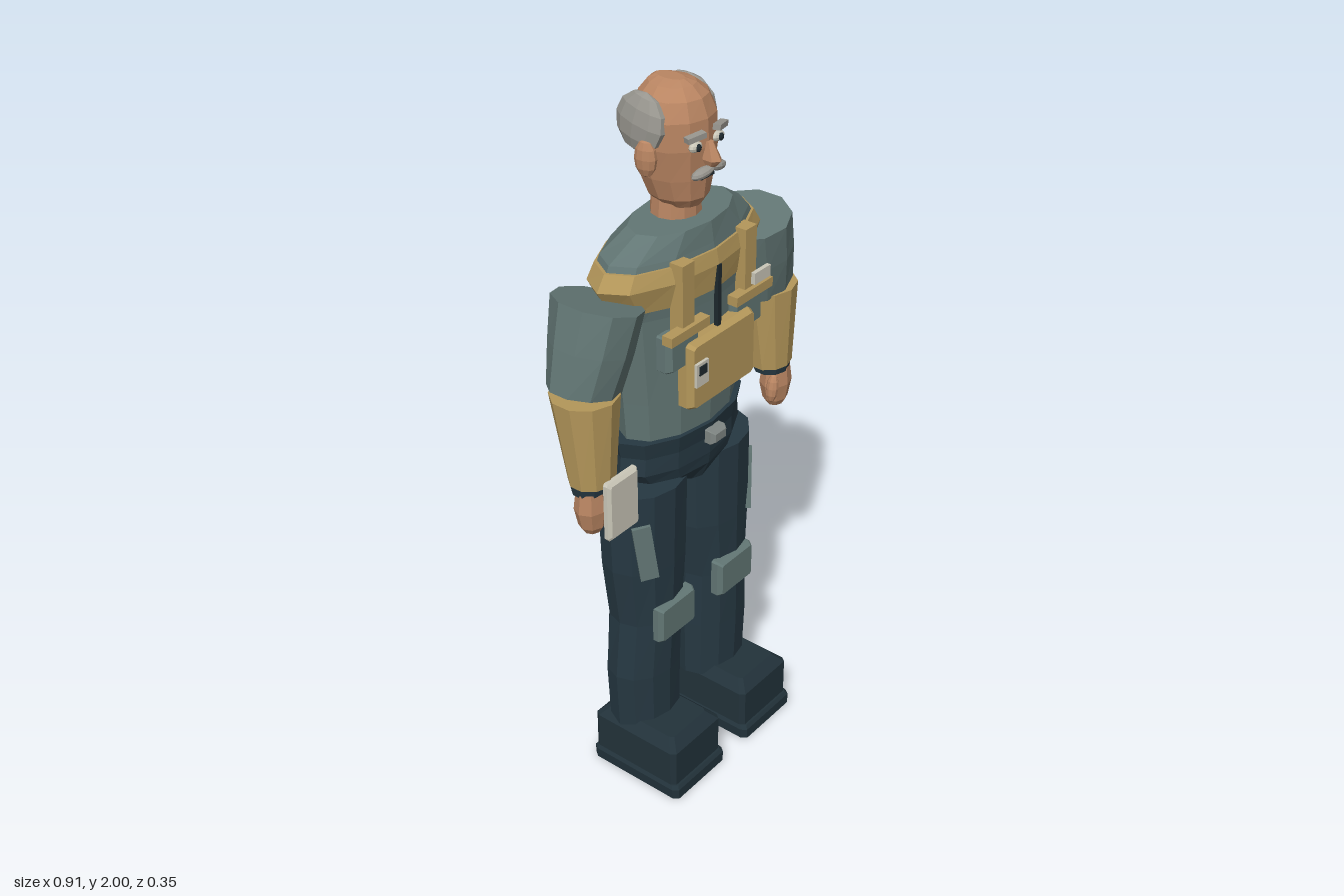
import * as THREE from 'three';

const paint = (name, color) => {
  const m = new THREE.MeshStandardMaterial({ color });
  m.name = name;
  return m;
};

// Unit outlines, running from front towards +x
const round = (n) => Array.from({ length: n }, (_, i) => {
  const a = (i / n) * Math.PI * 2;
  return [Math.sin(a), Math.cos(a)];
});
const bevelled = (c) => [[-c, 1], [c, 1], [1, c], [1, -c], [c, -1], [-c, -1], [-1, -c], [-1, c]];

const flat = (geo) => {
  const g = geo.index ? geo.toNonIndexed() : geo;
  g.computeVertexNormals();
  return g;
};

// Closed faceted skin through rings [y, halfWidth, halfDepth, centreZ, centreX], bottom to top
function loft(rings, outline = round(12)) {
  const pos = [];
  const at = ([y, rx, rz, cz = 0, cx = 0], i) => {
    const [u, v] = outline[i % outline.length];
    return [cx + u * rx, y, cz + v * rz];
  };
  const mid = ([y, , , cz = 0, cx = 0]) => [cx, y, cz];
  const first = rings[0], last = rings[rings.length - 1];
  for (let i = 0; i < outline.length; i++) {
    for (let r = 0; r + 1 < rings.length; r++) {
      const a = at(rings[r], i), b = at(rings[r], i + 1);
      const c = at(rings[r + 1], i + 1), d = at(rings[r + 1], i);
      pos.push(...a, ...b, ...c, ...a, ...c, ...d);
    }
    pos.push(...mid(first), ...at(first, i + 1), ...at(first, i));
    pos.push(...mid(last), ...at(last, i), ...at(last, i + 1));
  }
  const g = new THREE.BufferGeometry();
  g.setAttribute('position', new THREE.Float32BufferAttribute(pos, 3));
  g.computeVertexNormals();
  return g;
}

export function createModel() {
  const model = new THREE.Group();
  model.name = 'worker';
  const shirt = paint('shirt teal', 0x627674);
  const tan = paint('harness tan', 0xb4975a);
  const navy = paint('trouser navy', 0x263842);
  const bootMat = paint('boot dark', 0x22323a);
  const skin = paint('skin', 0xb98562);
  const hair = paint('hair grey', 0x97958e);
  const pale = paint('paper', 0xcac7b8);
  const dark = paint('dark trim', 0x1e292e);
  const metal = paint('buckle grey', 0x7f8683);

  const add = (name, geo, mat, x = 0, y = 0, z = 0, rx = 0, ry = 0, rz = 0) => {
    const m = new THREE.Mesh(geo, mat);
    m.name = name;
    m.position.set(x, y, z);
    m.rotation.set(rx, ry, rz);
    model.add(m);
    return m;
  };
  const box = (name, mat, w, h, d, x, y, z, ...rot) =>
    add(name, new THREE.BoxGeometry(w, h, d), mat, x, y, z, ...rot);
  const blob = (name, mat, w, h, d, x, y, z, ...rot) =>
    add(name, flat(new THREE.SphereGeometry(1, 10, 6).scale(w, h, d)), mat, x, y, z, ...rot);
  // Pad with bevelled corners and a bevelled front face
  const pad = (name, mat, w, h, d, x, y, z, ...rot) =>
    add(name, loft([[0, w / 2, h / 2], [d * 0.6, w / 2, h / 2], [d, w / 2 - 0.008, h / 2 - 0.008]],
      bevelled(0.92)).rotateX(Math.PI / 2), mat, x, y, z, ...rot);

  // Torso
  add('shirt', loft([
    [1.04, 0.2, 0.108, -0.04], [1.2, 0.213, 0.115, -0.04], [1.45, 0.24, 0.122, -0.04],
    [1.55, 0.285, 0.128, -0.04], [1.605, 0.255, 0.118, -0.04], [1.66, 0.17, 0.095, -0.025],
  ]), shirt);
  add('chestBand', loft([
    [1.48, 0.255, 0.127, -0.04], [1.55, 0.3, 0.135, -0.04], [1.59, 0.272, 0.127, -0.04],
  ]), tan);
  add('hips', loft([
    [0.905, 0.06, 0.09, -0.045], [0.955, 0.2, 0.112, -0.045], [0.99, 0.228, 0.117, -0.045],
    [1.04, 0.222, 0.117, -0.045], [1.09, 0.235, 0.126, -0.045],
  ]), navy);

  // Chest gear
  box('zip', dark, 0.014, 0.17, 0.012, 0, 1.465, 0.092);
  pad('chestPouch', tan, 0.26, 0.19, 0.045, 0, 1.285, 0.07);
  box('radio', pale, 0.048, 0.066, 0.012, -0.098, 1.295, 0.117);
  box('radioScreen', dark, 0.03, 0.025, 0.004, -0.098, 1.307, 0.124);
  box('badge', pale, 0.066, 0.032, 0.012, 0.157, 1.462, 0.108);
  pad('buckle', metal, 0.06, 0.04, 0.03, 0, 1.056, 0.077);

  // Neck and head
  add('neck', loft([[1.62, 0.072, 0.065, -0.04], [1.72, 0.062, 0.06, -0.04]]), skin);
  add('head', loft([
    [1.69, 0.052, 0.062, -0.03], [1.715, 0.074, 0.08, -0.033], [1.77, 0.092, 0.094, -0.04],
    [1.85, 0.106, 0.102, -0.04], [1.92, 0.105, 0.1, -0.042], [1.965, 0.085, 0.085, -0.045],
    [1.99, 0.054, 0.062, -0.05], [2.0, 0.022, 0.042, -0.055],
  ]), skin);
  add('nose', loft([
    [1.805, 0.014, 0.015, 0.068], [1.822, 0.021, 0.028, 0.07], [1.865, 0.01, 0.014, 0.06],
  ], round(6)), skin);
  box('mouth', dark, 0.05, 0.008, 0.008, 0, 1.775, 0.055);

  for (const s of [-1, 1]) {
    const side = s > 0 ? 'left' : 'right';

    // Face and hair
    blob(side + 'Ear', skin, 0.018, 0.048, 0.03, s * 0.115, 1.833, -0.038, 0, s * -0.2, 0);
    blob(side + 'Hair', hair, 0.03, 0.074, 0.08, s * 0.089, 1.908, -0.072, 0.15, s * 0.12, s * 0.12);
    box(side + 'Brow', hair, 0.052, 0.014, 0.02, s * 0.048, 1.889, 0.058, 0, s * 0.3, s * -0.12);
    blob(side + 'Eye', pale, 0.022, 0.013, 0.012, s * 0.043, 1.862, 0.054);
    blob(side + 'Pupil', dark, 0.009, 0.01, 0.006, s * 0.043, 1.862, 0.064);
    blob(side + 'Moustache', hair, 0.034, 0.013, 0.016, s * 0.03, 1.795, 0.066, 0, s * 0.25, s * -0.22);

    // Harness strap, bar and pocket
    box(side + 'Strap', tan, 0.045, 0.185, 0.04, s * 0.125, 1.51, 0.079);
    box(side + 'PocketBar', tan, 0.15, 0.026, 0.03, s * 0.13, 1.423, 0.096);
    pad(side + 'ChestPocket', shirt, 0.115, 0.1, 0.045, s * 0.13, 1.365, 0.048);

    // Arm
    add(side + 'UpperArm', loft([
      [-0.112, 0.1, 0.088, -0.002], [0, 0.104, 0.108], [0.112, 0.104, 0.122],
    ], round(10)), shirt, s * 0.327, 1.42, -0.04, 0, 0, s * 0.26);
    add(side + 'Forearm', loft([
      [-0.115, 0.064, 0.058, 0.012], [0.125, 0.09, 0.088, -0.008],
    ], round(10)), tan, s * 0.37, 1.185, -0.022, 0, 0, s * 0.02);
    add(side + 'Cuff', loft([[1.045, 0.053, 0.048], [1.075, 0.058, 0.053]], round(10)),
      navy, s * 0.378, 0, -0.01);
    add(side + 'Hand', loft([
      [0.93, 0.024, 0.022], [0.95, 0.038, 0.034], [1.0, 0.05, 0.042], [1.055, 0.042, 0.036],
    ], round(8)), skin, s * 0.388, 0, 0);
    blob(side + 'Thumb', skin, 0.017, 0.042, 0.018, s * 0.34, 1.005, 0.024, 0, 0, s * -0.15);

    // Trouser leg
    add(side + 'Leg', loft([
      [0.16, 0.112, 0.09, -0.04, s * 0.147], [0.34, 0.118, 0.094, -0.04, s * 0.15],
      [0.52, 0.109, 0.096, -0.038, s * 0.142], [0.7, 0.131, 0.104, -0.043, s * 0.138],
      [0.945, 0.135, 0.112, -0.048, s * 0.135],
    ]), navy);
    pad(side + 'KneePad', shirt, 0.148, 0.115, 0.035, s * 0.13, 0.525, 0.036);
    box(side + 'ThighPocket', shirt, 0.05, 0.17, 0.025, s * 0.222, 0.775, 0.03, 0, s * 0.65, s * -0.13);

    // Boot
    add(side + 'Sole', loft([
      [0, 0.11, 0.153], [0.032, 0.112, 0.153], [0.042, 0.105, 0.146],
    ], bevelled(0.9)), bootMat, s * 0.158, 0, 0.018);
    add(side + 'Boot', loft([
      [0.035, 0.105, 0.144], [0.155, 0.105, 0.144], [0.185, 0.076, 0.115],
    ], bevelled(0.9)), bootMat, s * 0.158, 0, 0.014);
  }

  // Notepad held in the right hand
  pad('notepad', pale, 0.116, 0.172, 0.02, -0.338, 1.005, 0.046);

  return model;
}
